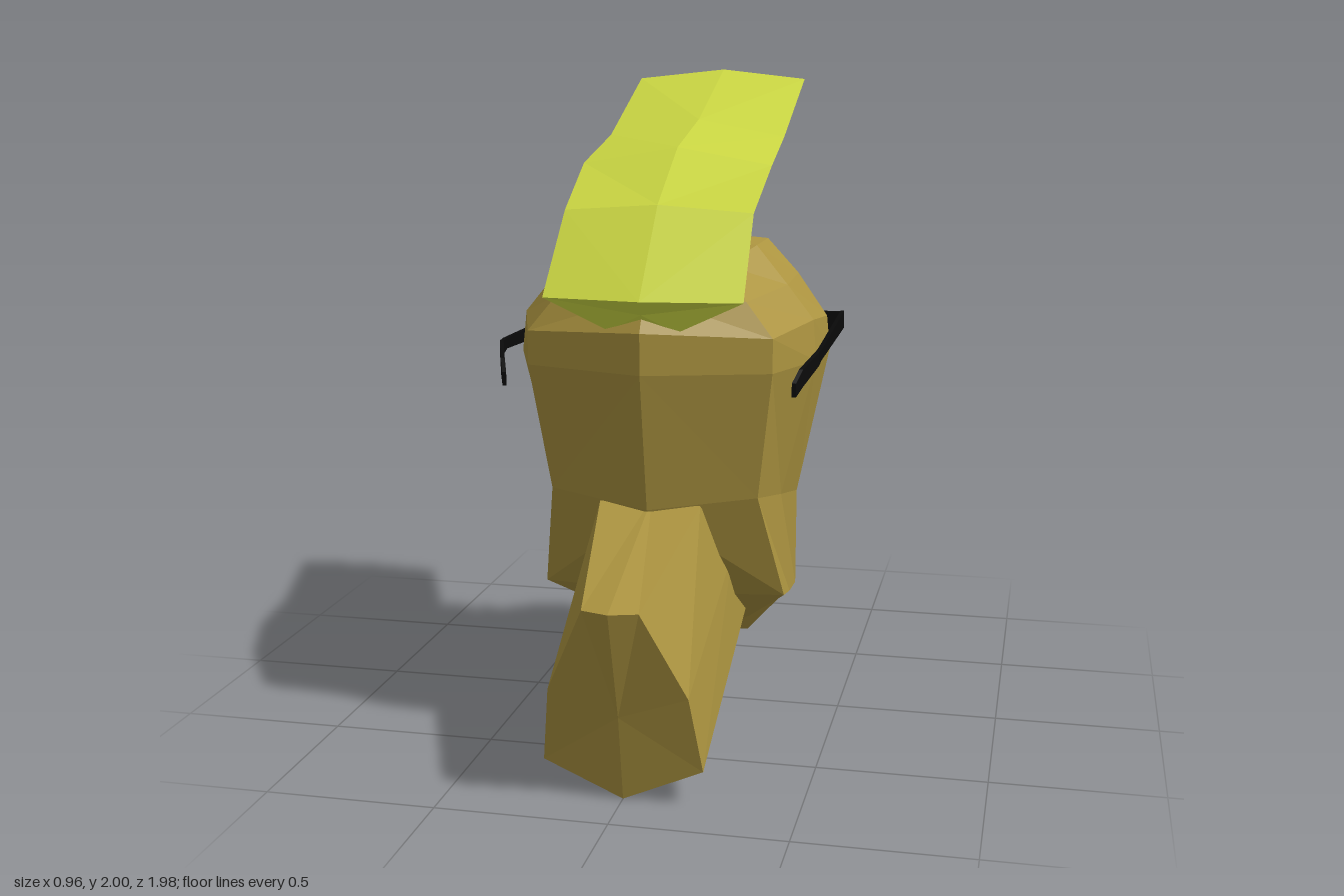
import * as THREE from 'three';
import { ConvexGeometry } from 'three/addons/geometries/ConvexGeometry.js';

const material = (name, color, flatShading = true) => {
  const m = new THREE.MeshStandardMaterial({ color, flatShading });
  m.name = name;
  return m;
};

// Half outline running from centre line to centre line, completed by its mirror image
const mirrorRing = half => [
  ...half,
  ...half.filter(p => p[0] !== 0).reverse().map(([x, y, z]) => [-x, y, z]),
];

const average = ring => [0, 1, 2].map(i => ring.reduce((s, p) => s + p[i], 0) / ring.length);

// Closed skin over a row of rings, with a fan at each end
function loft(rings, startCentre = average(rings[0]), endCentre = average(rings.at(-1))) {
  const n = rings[0].length, tris = [];
  for (let j = 0; j < n; j++) {
    const k = (j + 1) % n;
    tris.push([startCentre, rings[0][k], rings[0][j]]);
    tris.push([endCentre, rings.at(-1)[j], rings.at(-1)[k]]);
    for (let i = 0; i + 1 < rings.length; i++) {
      const a = rings[i][j], b = rings[i][k], c = rings[i + 1][k], d = rings[i + 1][j];
      // mirrored diagonals keep both halves alike
      if (j < n / 2) tris.push([a, b, c], [a, c, d]);
      else tris.push([a, b, d], [b, c, d]);
    }
  }
  // Turn the faces outwards
  let volume = 0;
  for (const [a, b, c] of tris) {
    volume += new THREE.Vector3(...a).dot(new THREE.Vector3(...b).cross(new THREE.Vector3(...c)));
  }
  if (volume < 0) tris.forEach(t => t.reverse());
  const geometry = new THREE.BufferGeometry();
  geometry.setAttribute('position', new THREE.Float32BufferAttribute(tris.flat(2), 3));
  geometry.computeVertexNormals();
  return geometry;
}

export function createModel() {
  const group = new THREE.Group();
  const skin = material('skin', 0xac9440);
  const hairGreen = material('hairGreen', 0xcbd743);
  const black = material('black', 0x0a0a0a);
  const paper = material('paperGrey', 0xc2c2c2, false);
  const filter = material('filterOrange', 0xb98424, false);
  const add = (name, geometry, mat) => {
    const mesh = new THREE.Mesh(geometry, mat);
    mesh.name = name;
    group.add(mesh);
    return mesh;
  };

  // Head: rings from crown to chin, each from the nape (+z) round to the face (-z)
  const headRings = [
    [[0, 1.47, .42], [.2, 1.46, .38], [.26, 1.5, .2], [.26, 1.5, 0], [.2, 1.46, -.14], [0, 1.47, -.25]],
    [[0, 1.39, .55], [.28, 1.37, .48], [.36, 1.39, .24], [.36, 1.4, .03], [.28, 1.37, -.2], [0, 1.4, -.32]],
    [[0, 1.29, .61], [.36, 1.27, .5], [.44, 1.29, .25], [.45, 1.27, .03], [.36, 1.27, -.22], [0, 1.27, -.36]],
    [[0, 1.17, .61], [.36, 1.17, .5], [.45, 1.17, .26], [.46, 1.17, .03], [.36, 1.17, -.23], [0, 1.17, -.33]],
    [[0, .76, .53], [.31, .79, .44], [.35, .76, .26], [.36, .71, .01], [.31, .84, -.24], [0, .77, -.37]],
    [[0, .44, .3], [.37, .46, .31], [.37, .44, .2], [.35, .39, -.05], [.27, .55, -.32], [0, .33, -.52]],
    [[0, .31, .11], [.23, .32, .11], [.27, .34, .04], [.27, .36, -.06], [.17, .17, -.2], [0, .19, -.46]],
  ].map(mirrorRing);
  add('head', loft(headRings, [0, 1.53, .08], [0, .16, -.19]), skin);

  // Neck: a prism slanting back and down, with a folded end
  const neckRings = [
    [[0, .78, .46], [.15, .77, .49], [.21, .58, .3], [.23, .4, .1], [0, .31, .11]],
    [[0, .59, .985], [.08, .59, .96], [.2, .33, .885], [.23, .1, .83], [0, 0, .83]],
  ].map(mirrorRing);
  add('neck', loft(neckRings, undefined, [0, .26, .88]), skin);

  // Nose: a wedge, narrow at the bridge
  const nosePoints = [
    [.03, 1.18, -.33], [.11, .83, -.29], [.11, .77, -.32], [.05, .85, -.585], [.045, .755, -.56],
  ].flatMap(([x, y, z]) => [new THREE.Vector3(x, y, z), new THREE.Vector3(-x, y, z)]);
  add('nose', new ConvexGeometry(nosePoints), skin);

  // Hair crest: sections of ridge, rim and keel, from the nape to the spike
  const hairRings = [
    [[0, 1.38, .615], [.29, 1.38, .58], [.1, 1.29, .57], [0, 1.29, .57]],
    [[0, 1.63, .38], [.28, 1.61, .37], [.1, 1.41, .46], [0, 1.41, .46]],
    [[0, 1.78, .11], [.29, 1.73, .12], [.1, 1.5, .15], [0, 1.5, .15]],
    [[0, 1.85, -.2], [.28, 1.8, -.17], [.1, 1.49, -.02], [0, 1.49, -.02]],
    [[0, 2, -.615], [.28, 1.97, -.59], [.05, 1.41, -.26], [0, 1.41, -.27]],
  ].map(mirrorRing);
  add('hairCrest', loft(hairRings, [0, 1.34, .593], [0, 1.72, -.45]), hairGreen);

  // Sunglasses: one plate holding both lenses
  const halfLens = [[.445, 1.22], [.445, 1.165], [.34, 1.09], [.17, 1.07], [.08, 1.15], [0, 1.17]];
  const outline = [...halfLens, ...halfLens.slice(0, -1).reverse().map(([x, y]) => [-x, y])];
  const lensShape = new THREE.Shape(outline.map(p => new THREE.Vector2(...p)));
  const lenses = new THREE.ExtrudeGeometry(lensShape, { depth: .016, bevelEnabled: false });
  add('sunglassLenses', lenses.translate(0, 0, -.396), black);

  // Sunglass arms, hooking down behind the ears: [x, bottom, top, z]
  const armPath = [
    [.444, 1.165, 1.222, -.396], [.474, 1.19, 1.222, .36], [.472, 1.18, 1.22, .4],
    [.44, 1.135, 1.185, .49], [.425, 1.11, 1.15, .525],
  ];
  for (const side of [1, -1]) {
    const rings = armPath.map(([x, low, high, z]) => [
      [side * (x - .006), low, z], [side * (x + .006), low, z],
      [side * (x + .006), high, z], [side * (x - .006), high, z],
    ]);
    add(side > 0 ? 'leftSunglassArm' : 'rightSunglassArm', loft(rings), black);
  }

  // Cigarette: paper, filter-coloured band and dark end
  const rod = (name, from, to, radius, mat) => {
    const geometry = new THREE.CylinderGeometry(radius, radius, from - to, 12).rotateX(Math.PI / 2);
    add(name, geometry.translate(0, .555, (from + to) / 2), mat);
  };
  rod('cigarettePaper', -.34, -.86, .034, paper);
  rod('cigaretteBand', -.86, -.986, .034, filter);
  rod('cigaretteEnd', -.984, -.99, .034, black);

  return group;
}
